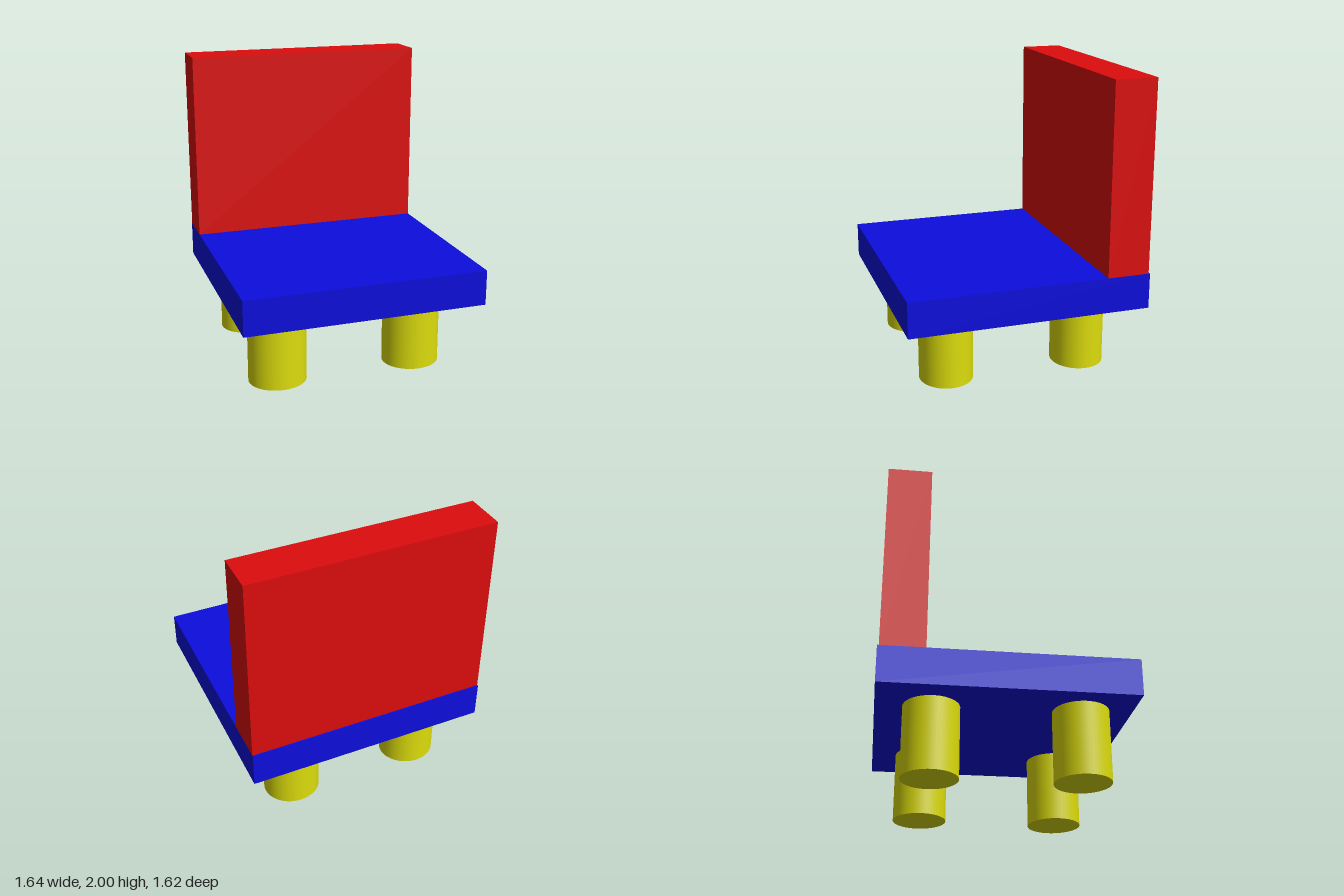
import * as THREE from 'three';

export function createModel() {
  const model = new THREE.Group();
  model.name = 'chair';

  const add = (name, geometry, color, x, y, z) => {
    const mesh = new THREE.Mesh(geometry, new THREE.MeshStandardMaterial({ color }));
    mesh.name = name;
    mesh.position.set(x, y, z);
    model.add(mesh);
  };

  // Seat slab and upright backrest
  add('seat', new THREE.BoxGeometry(1.64, 0.24, 1.62), 0x0d0ddd, 0, 0.597, 0);
  add('backrest', new THREE.BoxGeometry(1.64, 1.283, 0.285), 0xdd0d0d, 0, 1.3585, -0.657);

  // Stubby legs, slightly oval and unevenly placed, just short of the seat
  const leg = new THREE.CylinderGeometry(1, 1, 0.467, 48).scale(0.195, 1, 0.18);
  const legs = [
    ['frontLeftLeg', 0.43, 0.47],
    ['frontRightLeg', -0.52, 0.48],
    ['backLeftLeg', 0.425, -0.467],
    ['backRightLeg', -0.49, -0.457],
  ];
  for (const [name, x, z] of legs) add(name, leg, 0xdddd0d, x, 0.2335, z);

  return model;
}
